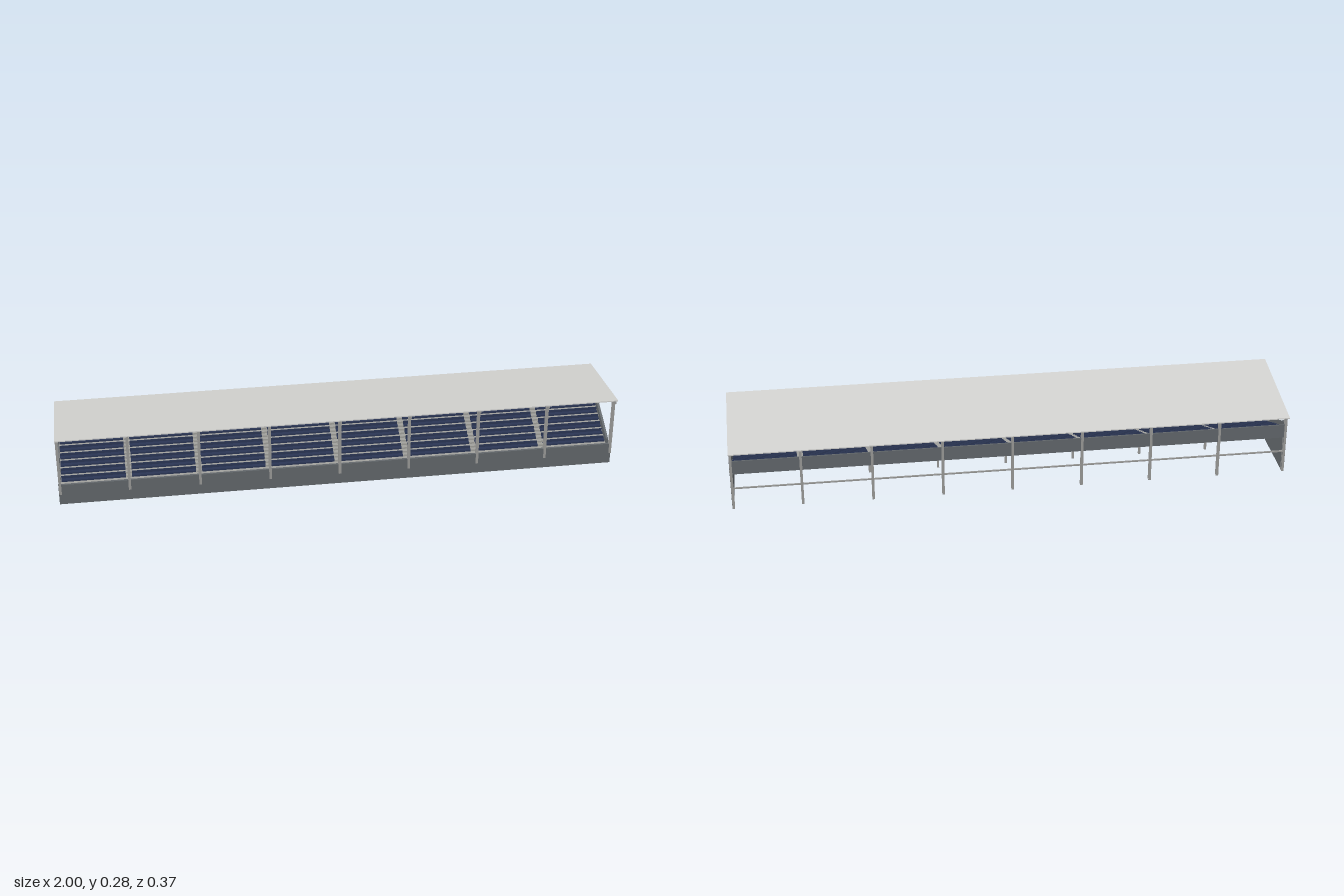
import * as THREE from 'three';

const mat = (name, color) => {
  const m = new THREE.MeshStandardMaterial({ color });
  m.name = name;
  return m;
};

export function createModel() {
  const stand = new THREE.Group();
  stand.name = 'grandstand';
  const roofMat = mat('pale roof sheet', 0xd2d2cf);
  const steel = mat('grey steel', 0x9a9a98);
  const concrete = mat('light concrete', 0xa0a09c);
  const wallMat = mat('slate wall', 0x62676b);
  const seatMat = mat('navy seat', 0x2a3554);

  const add = (name, geo, material, parent = stand) => {
    const mesh = new THREE.Mesh(geo, material);
    mesh.name = name;
    parent.add(mesh);
    return mesh;
  };
  // Box given by its limits on each axis
  const box = (name, material, x0, x1, y0, y1, z0, z1, parent) => {
    const mesh = add(name, new THREE.BoxGeometry(x1 - x0, y1 - y0, z1 - z0), material, parent);
    mesh.position.set((x0 + x1) / 2, (y0 + y1) / 2, (z0 + z1) / 2);
    return mesh;
  };
  // Side profile of [z, y] points extruded across x
  const slab = (name, material, points, width, x = 0, parent = stand) => {
    const shape = new THREE.Shape(points.map(([z, y]) => new THREE.Vector2(z, y)));
    const geo = new THREE.ExtrudeGeometry(shape, { depth: width, bevelEnabled: false });
    geo.translate(0, 0, -width / 2).rotateY(-Math.PI / 2);
    const mesh = add(name, geo, material, parent);
    mesh.position.x = x;
    return mesh;
  };
  // Upright steel section with two flanges and a web
  const column = (name, x, y0, y1, z0, z1) => {
    const g = new THREE.Group();
    g.name = name;
    const w = 0.0045, t = 0.002;
    box('flange', steel, x - w, x + w, y0, y1, z0, z0 + t, g);
    box('flange', steel, x - w, x + w, y0, y1, z1 - t, z1, g);
    box('web', steel, x - 0.001, x + 0.001, y0, y1, z0 + t, z1 - t, g);
    stand.add(g);
  };

  // Sloping deck with a flat front walkway and a flat rear landing
  slab('deck', concrete, [
    [0.145, 0.04], [0.145, 0.047], [0.11, 0.047], [-0.125, 0.153],
    [-0.16, 0.153], [-0.16, 0.145], [-0.125, 0.145], [0.11, 0.04],
  ], 2);

  // Walls: low front parapet, rear band and two end walls
  box('frontWall', wallMat, -1, 1, 0, 0.08, 0.138, 0.146);
  box('backWall', wallMat, -0.998, 0.998, 0.14, 0.192, -0.162, -0.157);
  for (const s of [-1, 1]) {
    slab('endWall', wallMat, [
      [0.11, 0], [0.11, 0.08], [-0.125, 0.186], [-0.125, 0.192], [-0.162, 0.192], [-0.162, 0],
    ], 0.008, s * 0.995);
  }

  // Terraces with rows of seats, broken by stepped aisles
  const rows = 8, run = 0.235 / rows, rise = 0.106 / rows;
  const aisles = [-0.75, -0.5, -0.25, 0, 0.25, 0.5, 0.75];
  for (let i = 0; i < rows; i++) {
    const z1 = 0.11 - i * run, z0 = z1 - run;
    const base = 0.047 + i * rise, top = base + rise;
    slab('terrace', concrete, [[z1, base], [z1, top], [z0, top]], 1.982);
    for (let b = 0; b < 8; b++) {
      const xa = -1 + b * 0.25 + 0.011, xb = xa + 0.228;
      box('seatPan', seatMat, xa, xb, top + 0.005, top + 0.008, z0 + 0.004, z0 + 0.018);
      box('seatFront', seatMat, xa, xb, top, top + 0.005, z0 + 0.013, z0 + 0.015);
      box('seatBack', seatMat, xa, xb, top + 0.004, top + 0.018, z0 + 0.002, z0 + 0.004);
    }
    for (const x of aisles) {
      box('aisleStep', concrete, x - 0.01, x + 0.01, top, top + rise / 2, z0, z0 + run / 2);
    }
  }

  // Roof sheet, tilted down to the rear
  slab('roof', roofMat, [
    [0.183, 0.2805], [0.183, 0.2845], [-0.183, 0.231], [-0.183, 0.227],
  ], 2);

  // Steel frames along the length
  for (let i = 0; i <= 8; i++) {
    const x = Math.max(-0.994, Math.min(0.994, -1 + i * 0.25));
    slab('roofBeam', steel, [
      [0.173, 0.265], [0.173, 0.279], [-0.151, 0.2315], [-0.151, 0.213],
    ], 0.008, x);
    column('frontColumn', x, 0.047, 0.262, 0.142, 0.158);
    column('rearColumn', x, 0, 0.228, -0.163, -0.15);
    if (i > 0 && i < 8) box('deckSupport', steel, x - 0.004, x + 0.004, 0, 0.076, 0.029, 0.037);
  }
  box('rearRail', steel, -0.99, 0.99, 0.078, 0.083, -0.159, -0.154);

  return stand;
}
